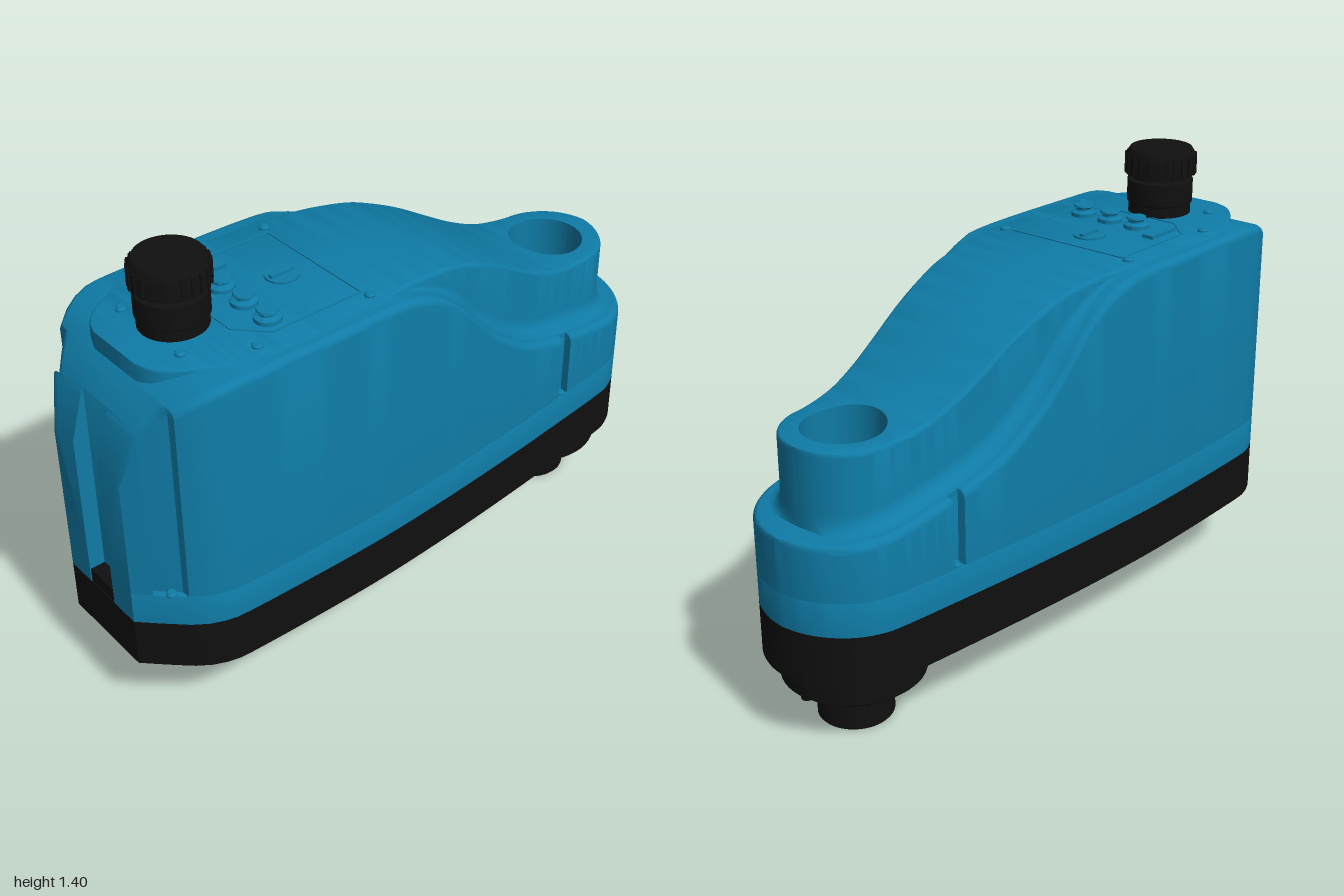
import * as THREE from 'three';
import { toCreasedNormals } from 'three/addons/utils/BufferGeometryUtils.js';

const blue = new THREE.MeshStandardMaterial({ color: 0x0f7ba6, side: THREE.DoubleSide });
const black = new THREE.MeshStandardMaterial({ color: 0x101010, side: THREE.DoubleSide });
const BORE_X = 0.74, BORE_R = 0.12;

// Smooth curve through [x, value] points, looked up by x
function profile(points) {
  const pts = new THREE.SplineCurve(points.map(p => new THREE.Vector2(...p))).getPoints(300);
  return x => {
    if (x <= pts[0].x) return pts[0].y;
    for (let i = 1; i < pts.length; i++) {
      const a = pts[i - 1], b = pts[i];
      if (x <= b.x) return a.y + (b.y - a.y) * (x - a.x) / Math.max(b.x - a.x, 1e-9);
    }
    return pts[pts.length - 1].y;
  };
}

// Plan half-widths and top heights along the length
const outerWidth = profile([[-1, 0.16], [-0.94, 0.22], [-0.87, 0.285], [-0.8, 0.322], [-0.7, 0.335], [-0.3, 0.34],
  [0, 0.327], [0.3, 0.303], [0.55, 0.277], [0.78, 0.25], [0.85, 0.232], [0.91, 0.195], [0.96, 0.135], [0.99, 0.065], [1, 0]]);
const shoulderTop = profile([[-1, 0.9], [-0.99, 0.97], [-0.96, 1.04], [-0.9, 1.115], [-0.83, 1.16], [-0.75, 1.182],
  [-0.6, 1.185], [-0.2, 1.185], [-0.1, 1.172], [0, 1.13], [0.1, 1.045], [0.2, 0.935], [0.3, 0.85], [0.4, 0.785],
  [0.5, 0.745], [0.6, 0.72], [0.75, 0.688], [0.9, 0.67], [1, 0.666]]);
const ridgeTop = profile([[-0.17, 1.187], [-0.05, 1.185], [0.1, 1.162], [0.2, 1.127], [0.3, 1.08], [0.4, 1.022],
  [0.5, 0.966], [0.6, 0.925], [0.7, 0.908], [0.8, 0.905], [0.92, 0.905]]);
const ridgeWidth = x => x > BORE_X ? Math.sqrt(Math.max(0, 0.18 ** 2 - (x - BORE_X) ** 2))
  : 0.18 + 0.1 * (BORE_X - x) / 0.91;
const bore = x => Math.sqrt(Math.max(0, BORE_R ** 2 - (x - BORE_X) ** 2));

// Vertical grooves in the side walls
const grooves = [[-0.955, -0.885, 0.025], [0.56, 0.6, 0.025]];
const groovedWidth = x => outerWidth(x) - grooves.reduce((d, g) => d + (x > g[0] && x < g[1] ? g[2] : 0), 0);

// Stations: even steps, dense at the nose and the bore, doubled at steps
function stations(x0, x1, steps = []) {
  const xs = [];
  for (let i = 0; i <= 80; i++) xs.push(x0 + (x1 - x0) * Math.sin(i / 80 * Math.PI / 2));
  for (let i = 0; i <= 24; i++) xs.push(BORE_X - BORE_R * Math.cos(i / 24 * Math.PI));
  for (const s of steps) xs.push(s - 0.0008, s + 0.0008);
  return xs.filter(x => x >= x0 && x <= x1).sort((a, b) => a - b);
}

// Mirrored loft: wall from y0 up to top(x), rounded edge, open where inner(x) > 0
function shell(name, xs, { width, top, y0, inner = () => 0, round = 0.025, ledge }) {
  const pos = [];
  const sections = xs.map(x => {
    const w = width(x), h = top(x), v = Math.min(inner(x), w), r = Math.min(round, w - v);
    const s = [[v, y0], [v, h]];
    for (let i = 0; i <= 5; i++) {
      const a = i / 5 * Math.PI / 2;
      s.push([w - r + r * Math.sin(a), h - r + r * Math.cos(a)]);
    }
    if (ledge) {
      const l = ledge(x), f = Math.max(0, Math.min(0.05, (h - l) * 0.4, w));
      for (let i = 0; i <= 4; i++) {
        const a = i / 4 * Math.PI / 2;
        s.push([w + f * (1 - Math.cos(a)), Math.min(l + f * (1 - Math.sin(a)), h - r)]);
      }
    }
    s.push([s[s.length - 1][0], y0]);
    return s;
  });
  for (const side of [1, -1]) {
    const P = (i, j) => [xs[i], sections[i][j][1], side * sections[i][j][0]];
    const tri = (a, b, c) => side > 0 ? pos.push(...a, ...b, ...c) : pos.push(...a, ...c, ...b);
    const n = sections[0].length;
    for (let i = 0; i < xs.length - 1; i++) for (let j = 0; j < n - 1; j++) {
      tri(P(i, j), P(i, j + 1), P(i + 1, j));
      tri(P(i, j + 1), P(i + 1, j + 1), P(i + 1, j));
    }
    for (let j = 1; j < n - 1; j++) tri(P(0, 0), P(0, j + 1), P(0, j));
  }
  const g = new THREE.BufferGeometry();
  g.setAttribute('position', new THREE.Float32BufferAttribute(pos, 3));
  return named(name, toCreasedNormals(g, 0.6), blue);
}

function named(name, geometry, material, x = 0, y = 0, z = 0) {
  const m = new THREE.Mesh(geometry, material);
  m.name = name;
  m.position.set(x, y, z);
  return m;
}

// Turned part from [radius, height] points, with crisp edges
function turned(name, points, material, x, y = 0, z = 0, segments = 48) {
  const g = new THREE.LatheGeometry(points.map(p => new THREE.Vector2(...p)), segments);
  return named(name, toCreasedNormals(g.toNonIndexed(), 0.6), material, x, y, z);
}

// Flat slab extruded upward from a plan shape
function slab(name, shape, height, y, material) {
  const g = new THREE.ExtrudeGeometry(shape, { depth: height, bevelEnabled: false, curveSegments: 32 });
  g.rotateX(-Math.PI / 2);
  return named(name, toCreasedNormals(g, 0.5), material, 0, y, 0);
}

export function createModel() {
  const model = new THREE.Group();
  model.name = 'machineHousing';

  // Black base tray
  const xs = stations(-1, 1);
  const outline = [...xs.map(x => [x, outerWidth(x)]), ...xs.slice(0, -1).reverse().map(x => [x, -outerWidth(x)])];
  const plan = new THREE.Shape(outline.map(p => new THREE.Vector2(...p)));
  plan.holes.push(new THREE.Path().absarc(BORE_X, 0, 0.05, 0, Math.PI * 2, true));
  model.add(slab('baseTray', plan, 0.16, 0.235, black));
  model.add(named('rearTab', new THREE.BoxGeometry(0.05, 0.05, 0.12), black, -0.972, 0.415, 0));

  // Blue housing: lower band, grooved upper shell with rear channel, and central ridge
  const edges = [...grooves.flatMap(g => g.slice(0, 2)), -0.95];
  const channel = x => x < -0.95 ? 0.06 : bore(x);
  const all = stations(-1, 1, edges);
  model.add(shell('lowerShell', all, { width: outerWidth, top: () => 0.5, y0: 0.395, inner: channel, round: 0.001 }));
  model.add(shell('upperShell', all, { width: groovedWidth, top: shoulderTop, y0: 0.5, inner: channel }));
  model.add(shell('ridge', stations(-0.17, 0.92), {
    width: ridgeWidth, top: ridgeTop, y0: 0.6, inner: bore, round: 0.015, ledge: x => shoulderTop(x) - 0.001 }));
  const deckWidth = profile([[-0.88, 0.1], [-0.86, 0.15], [-0.82, 0.19], [-0.75, 0.235], [-0.65, 0.28], [-0.5, 0.3], [-0.3, 0.29]]);
  model.add(shell('rearDeck', stations(-0.88, -0.17), { width: deckWidth, top: () => 1.187, y0: 0.95, round: 0.008 }));

  // Bore floor and through-tube
  model.add(turned('boreSleeve', [[BORE_R, 0.55], [0.05, 0.55], [0.05, 0.01]], blue, BORE_X));

  // Nozzle under the nose
  model.add(turned('nozzle', [[0.05, 0.235], [0.05, 0], [0.108, 0], [0.113, 0.006], [0.113, 0.12], [0.2, 0.14],
    [0.212, 0.15], [0.212, 0.2], [0.23, 0.2], [0.23, 0.24]], black, BORE_X));
  for (let i = 0; i < 6; i++) {
    const a = i / 6 * Math.PI * 2;
    model.add(named('nozzleBolt', new THREE.CylinderGeometry(0.018, 0.018, 0.05, 12), black,
      BORE_X + 0.185 * Math.cos(a), 0.155, 0.185 * Math.sin(a)));
  }

  // Stepped rear hub and small centre pad beneath the tray
  model.add(turned('rearHub', [[0, 0.148], [0.06, 0.148], [0.06, 0.182], [0.12, 0.182], [0.12, 0.205],
    [0.21, 0.205], [0.21, 0.24]], black, -0.69));
  model.add(turned('centrePad', [[0, 0.225], [0.08, 0.225], [0.08, 0.24]], black, 0.03));

  // Adjusting knob with a ribbed cap
  model.add(turned('knob', [[0.1, 1.18], [0.1, 1.22], [0.105, 1.225], [0.105, 1.295], [0.09, 1.3], [0.09, 1.31],
    [0.11, 1.315], [0.11, 1.38], [0.098, 1.398], [0, 1.4]], black, -0.69));
  for (let i = 0; i < 24; i++) {
    const a = i / 24 * Math.PI * 2;
    const rib = named('knobRib', new THREE.BoxGeometry(0.012, 0.062, 0.014), black,
      -0.69 + 0.109 * Math.cos(a), 1.347, 0.109 * Math.sin(a));
    rib.rotation.y = -a;
    model.add(rib);
  }

  // Control panel plate, with a slim raised border
  const plate = inset => new THREE.Shape([[-0.6, 0.13], [-0.52, 0.215], [-0.21, 0.215], [-0.21, -0.215], [-0.52, -0.215], [-0.6, -0.13]]
    .map(([x, z]) => new THREE.Vector2(-0.4 + (x + 0.4) * inset, z * inset)));
  const border = plate(1);
  border.holes.push(new THREE.Path(plate(0.97).getPoints().reverse()));
  model.add(slab('panelBorder', border, 0.004, 1.186, blue));

  // Push buttons, selector and socket
  for (const z of [-0.057, 0.047, 0.153]) {
    model.add(turned('pushButton', [[0.04, 0], [0.04, 0.012], [0.024, 0.018], [0.024, 0.024], [0.032, 0.03],
      [0.03, 0.036], [0, 0.037]], blue, -0.49, 1.187, z, 32));
  }
  model.add(turned('selector', [[0.05, 0], [0.05, 0.006], [0, 0.006]], blue, -0.325, 1.187, 0));
  model.add(named('selectorBar', new THREE.BoxGeometry(0.08, 0.01, 0.014), blue, -0.325, 1.196, 0));
  model.add(named('socket', new THREE.BoxGeometry(0.12, 0.012, 0.04), blue, -0.475, 1.192, -0.155));

  // Screws, mirrored left and right
  const screws = [[-0.59, 1.186, 0.24], [-0.205, 1.186, 0.24], [-0.765, 1.186, 0.14], [-0.915, 0.5, 0.235], [0.58, 0.5, 0.258]];
  for (const [x, y, z] of screws) for (const s of [1, -1]) {
    model.add(turned('screw', [[0.016, 0], [0.016, 0.006], [0.01, 0.012], [0, 0.013]], blue, x, y, s * z, 20));
  }
  return model;
}
